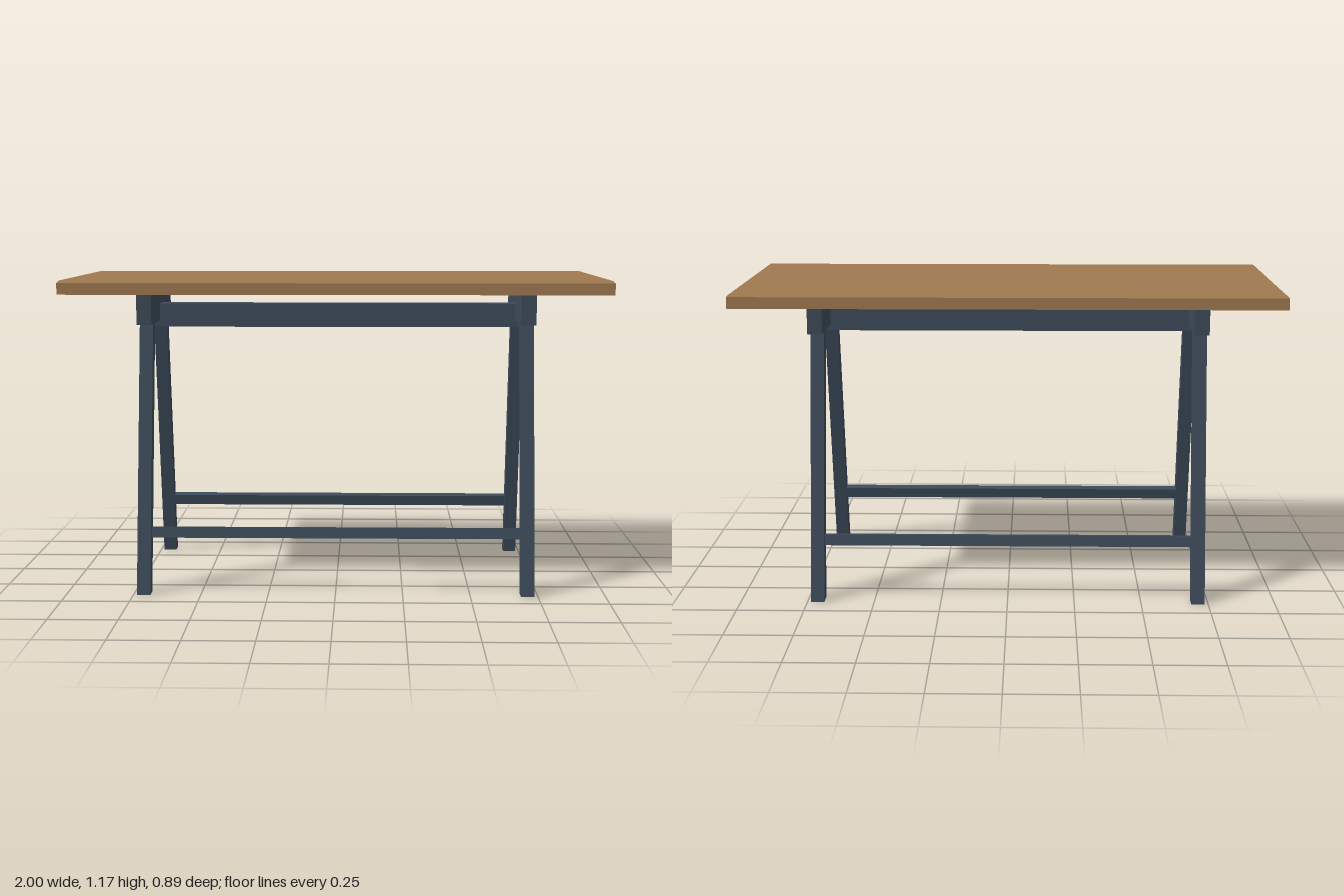
import * as THREE from 'three';

export function createModel() {
  const table = new THREE.Group();
  table.name = 'trestleTable';
  const wood = new THREE.MeshStandardMaterial({ color: 0xa07a50 });
  wood.name = 'warm wood';
  const paint = new THREE.MeshStandardMaterial({ color: 0x3d4b5a });
  paint.name = 'slate blue paint';

  const add = (name, geometry, material, x = 0, y = 0, z = 0) => {
    const mesh = new THREE.Mesh(geometry, material);
    mesh.name = name;
    mesh.position.set(x, y, z);
    table.add(mesh);
    return mesh;
  };

  // Tabletop: a slab whose upper edge is chamfered all round
  const bottom = 1.115, top = 1.166, chamfer = 0.009;
  const slab = new THREE.BoxGeometry(2, 2, 0.888, 1, 2, 1);
  const p = slab.attributes.position;
  for (let i = 0; i < p.count; i++) {
    const row = Math.round(p.getY(i));
    p.setY(i, row < 0 ? bottom : row === 0 ? top - chamfer : top);
    if (row > 0) {
      p.setX(i, p.getX(i) - Math.sign(p.getX(i)) * chamfer);
      p.setZ(i, p.getZ(i) - Math.sign(p.getZ(i)) * chamfer);
    }
  }
  const slabFlat = slab.toNonIndexed();
  slabFlat.computeVertexNormals();
  add('tabletop', slabFlat, wood);

  // Leg: slanted bar with level ends, its profile running over z and y
  const headY = 0.995, footZ = 0.379, topZ = 0.187, half = 0.027, legWidth = 0.05;
  const legGeometry = (side) => {
    const shape = new THREE.Shape();
    // Shape x becomes -z once the extrusion is turned towards +x
    const foot = -side * footZ, head = -side * topZ;
    shape.moveTo(foot - half, 0);
    shape.lineTo(foot + half, 0);
    shape.lineTo(head + half, headY);
    shape.lineTo(head - half, headY);
    shape.closePath();
    return new THREE.ExtrudeGeometry(shape, { depth: legWidth, bevelEnabled: false })
      .translate(0, 0, -legWidth / 2)
      .rotateY(Math.PI / 2);
  };

  // Trestles: a head block on two splayed legs at each end
  for (const end of [-1, 1]) {
    const label = end > 0 ? 'left' : 'right';
    add(label + 'TrestleHead', new THREE.BoxGeometry(0.055, bottom - headY, 0.555),
      paint, end * 0.712, (bottom + headY) / 2);
    for (const side of [-1, 1]) {
      add(label + (side > 0 ? 'FrontLeg' : 'BackLeg'), legGeometry(side), paint, end * 0.712);
    }
  }

  // Long beam joining the trestle heads
  add('centreBeam', new THREE.BoxGeometry(1.47, 0.09, 0.076), paint, 0, 1.015);

  // Low stretchers, tilted to match the legs
  const slope = (footZ - topZ) / headY;
  const stretcherY = 0.224;
  for (const side of [-1, 1]) {
    const bar = add(side > 0 ? 'frontStretcher' : 'backStretcher',
      new THREE.BoxGeometry(1.4, 0.041, 0.032), paint,
      0, stretcherY, side * (footZ - slope * stretcherY));
    bar.rotation.x = -side * Math.atan(slope);
  }
  return table;
}
